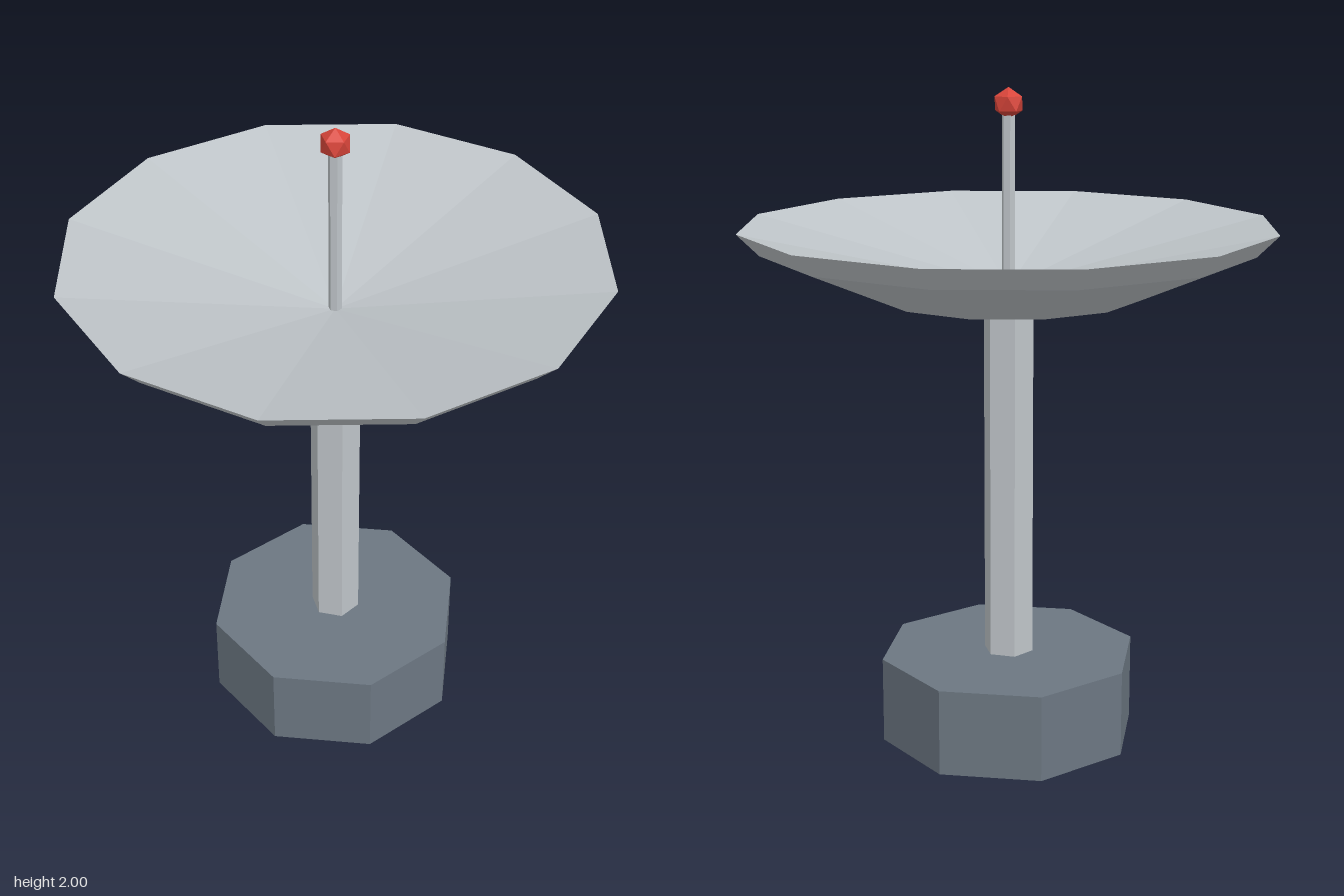
import * as THREE from 'three';

export function createModel() {
  const model = new THREE.Group();
  const flat = (name, color) => {
    const m = new THREE.MeshStandardMaterial({ color, flatShading: true });
    m.name = name;
    return m;
  };
  const slate = flat('slate', 0x6c7782);
  const lightGrey = flat('light grey', 0xbfc5c9);
  const red = flat('red', 0xd8453a);

  const add = (name, geometry, material, y = 0) => {
    const mesh = new THREE.Mesh(geometry, material);
    mesh.name = name;
    mesh.position.y = y;
    model.add(mesh);
  };
  // upright prism between two heights
  const post = (name, radius, y0, y1, sides, material) =>
    add(name, new THREE.CylinderGeometry(radius, radius, y1 - y0, sides), material, (y0 + y1) / 2);

  post('base', 0.4, 0, 0.267, 8, slate);
  post('mast', 0.077, 0.267, 1.335, 6, lightGrey);

  // dish: faceted bowl outside, plain shallow cone inside
  const profile = [
    [0, 1.335], [0.4, 1.393], [0.735, 1.535], [0.8, 1.6], [0, 1.415],
  ].map(([r, y]) => new THREE.Vector2(r, y));
  add('dish', new THREE.LatheGeometry(profile, 12), lightGrey);

  // feed rod rising from the middle of the dish
  post('feedRod', 0.02, 1.38, 1.92, 6, lightGrey);

  // beacon: icosahedron standing on one corner
  const beacon = new THREE.IcosahedronGeometry(0.047, 0);
  beacon.rotateZ(-Math.atan2(1, (1 + Math.sqrt(5)) / 2));
  add('beacon', beacon, red, 1.953);

  return model;
}
